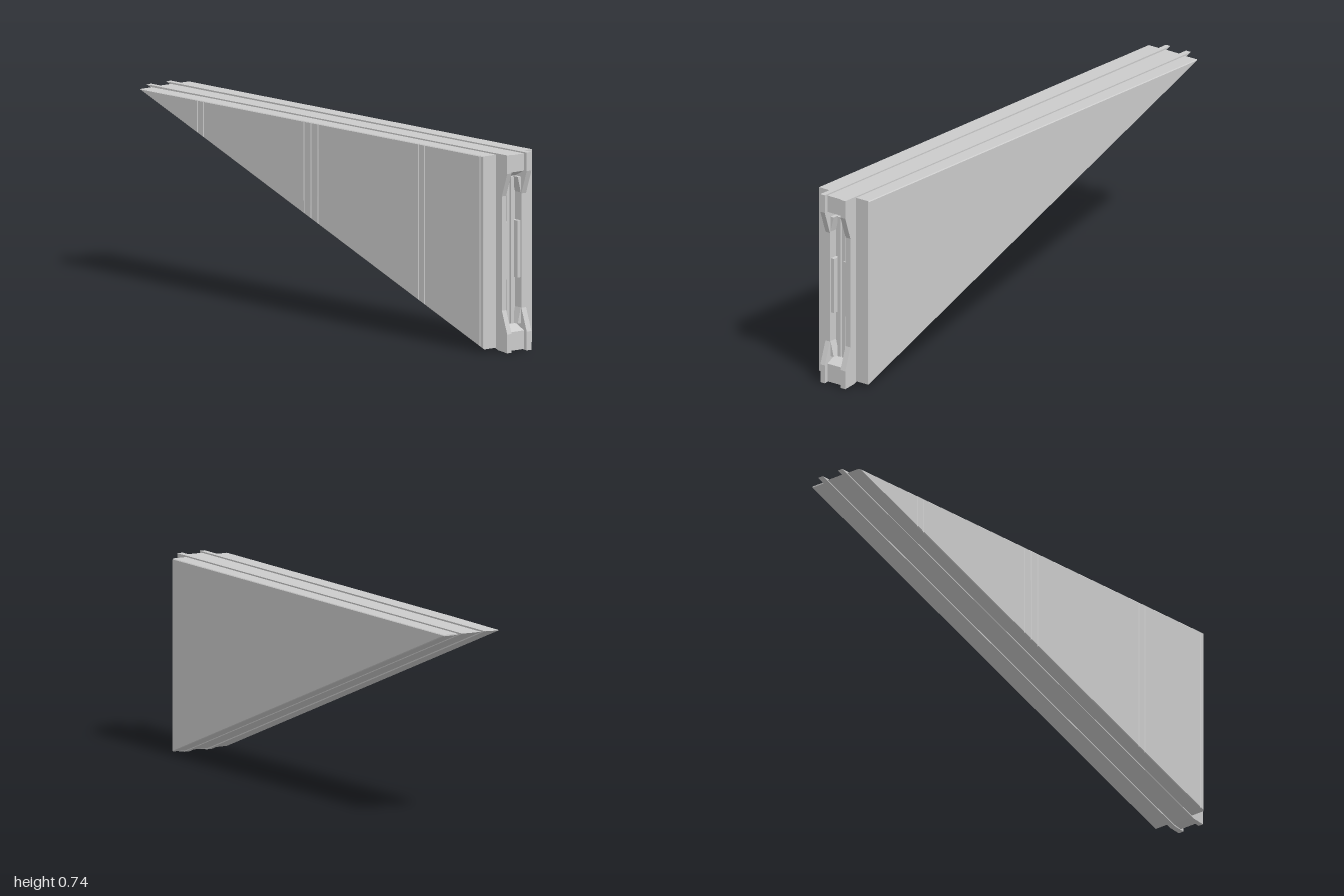
import * as THREE from 'three';

const grey = new THREE.MeshStandardMaterial({ color: 0xcccccc, flatShading: true });

// Flat outline [x, y] extruded between two z planes, with optional chamfered rims
function prism(name, points, z0, z1, bevel = 0) {
  const shape = new THREE.Shape(points.map(([x, y]) => new THREE.Vector2(x, y)));
  const geo = new THREE.ExtrudeGeometry(shape, {
    depth: z1 - z0 - 2 * bevel, bevelEnabled: bevel > 0, bevelThickness: bevel,
    bevelSize: bevel, bevelOffset: -bevel, bevelSegments: 1,
  });
  geo.translate(0, 0, z0 + bevel);
  const mesh = new THREE.Mesh(geo, grey);
  mesh.name = name;
  return mesh;
}

function box(name, x0, x1, y0, y1, z0, z1) {
  const mesh = new THREE.Mesh(new THREE.BoxGeometry(x1 - x0, y1 - y0, z1 - z0), grey);
  mesh.position.set((x0 + x1) / 2, (y0 + y1) / 2, (z0 + z1) / 2);
  mesh.name = name;
  return mesh;
}

export function createModel() {
  const group = new THREE.Group();
  group.name = 'triangularWall';

  const slabTop = 0.731, slabEnd = 0.937;
  const slope = (x) => 0.013 + (slabEnd - x) * 0.375;

  // Front cladding: panels and narrow strips separated by chamfered seams
  const front = new THREE.Group();
  front.name = 'frontCladding';
  const seams = [-0.972, -0.65, -0.617, -0.058, -0.02, 0.018, 0.577, 0.61, 0.918, slabEnd];
  for (let i = 0; i < seams.length - 1; i++) {
    const a = seams[i], b = seams[i + 1];
    const points = [[a, slope(a)], [b, slope(b)], [b, slabTop]];
    if (i > 0) points.push([a, slabTop]);
    front.add(prism('frontPanel', points, 0.05, 0.118, 0.003));
  }
  group.add(front);

  // Back cladding: one plain triangle
  group.add(prism('backCladding',
    [[-0.965, slope(-0.965)], [slabEnd, slope(slabEnd)], [slabEnd, slabTop], [-0.965, slabTop]],
    -0.12, -0.05, 0.003));

  // Two edge rails with a scooped right end
  const rail = [[-1, 0.736], [0.95, 0.005], [1, 0], [1, 0.07], [0.97, 0.155],
    [0.97, 0.58], [1, 0.667], [1, 0.736]];
  group.add(prism('frontRail', rail, 0.037, 0.058));
  group.add(prism('backRail', rail, -0.06, -0.037));

  // Core between the rails, with a long recess in its right end
  group.add(prism('core', [[-0.972, 0.73], [0.945, 0.011], [0.985, 0.004], [0.985, 0.073],
    [0.935, 0.097], [0.935, 0.643], [0.985, 0.667], [0.985, 0.731]], -0.038, 0.038));

  // Recess fittings: ribs, side pads and corner wedges
  const recess = new THREE.Group();
  recess.name = 'endRecess';
  for (const s of [-1, 1]) {
    recess.add(box('rib', 0.93, 0.95, 0.097, 0.643, s * 0.011 - 0.007, s * 0.011 + 0.007));
    recess.add(box('sidePad', 0.93, 0.965, 0.268, 0.48, s * 0.03 - 0.008, s * 0.03 + 0.008));
    for (const [tip, end] of [[0.16, 0.097], [0.58, 0.643]]) {
      const wedge = new THREE.Shape([
        new THREE.Vector2(-s * 0.038, tip), new THREE.Vector2(-s * 0.038, end),
        new THREE.Vector2(-s * 0.022, end),
      ]);
      const geo = new THREE.ExtrudeGeometry(wedge, { depth: 0.035, bevelEnabled: false });
      geo.rotateY(Math.PI / 2).translate(0.932, 0, 0);
      const mesh = new THREE.Mesh(geo, grey);
      mesh.name = 'cornerWedge';
      recess.add(mesh);
    }
  }
  group.add(recess);
  return group;
}
